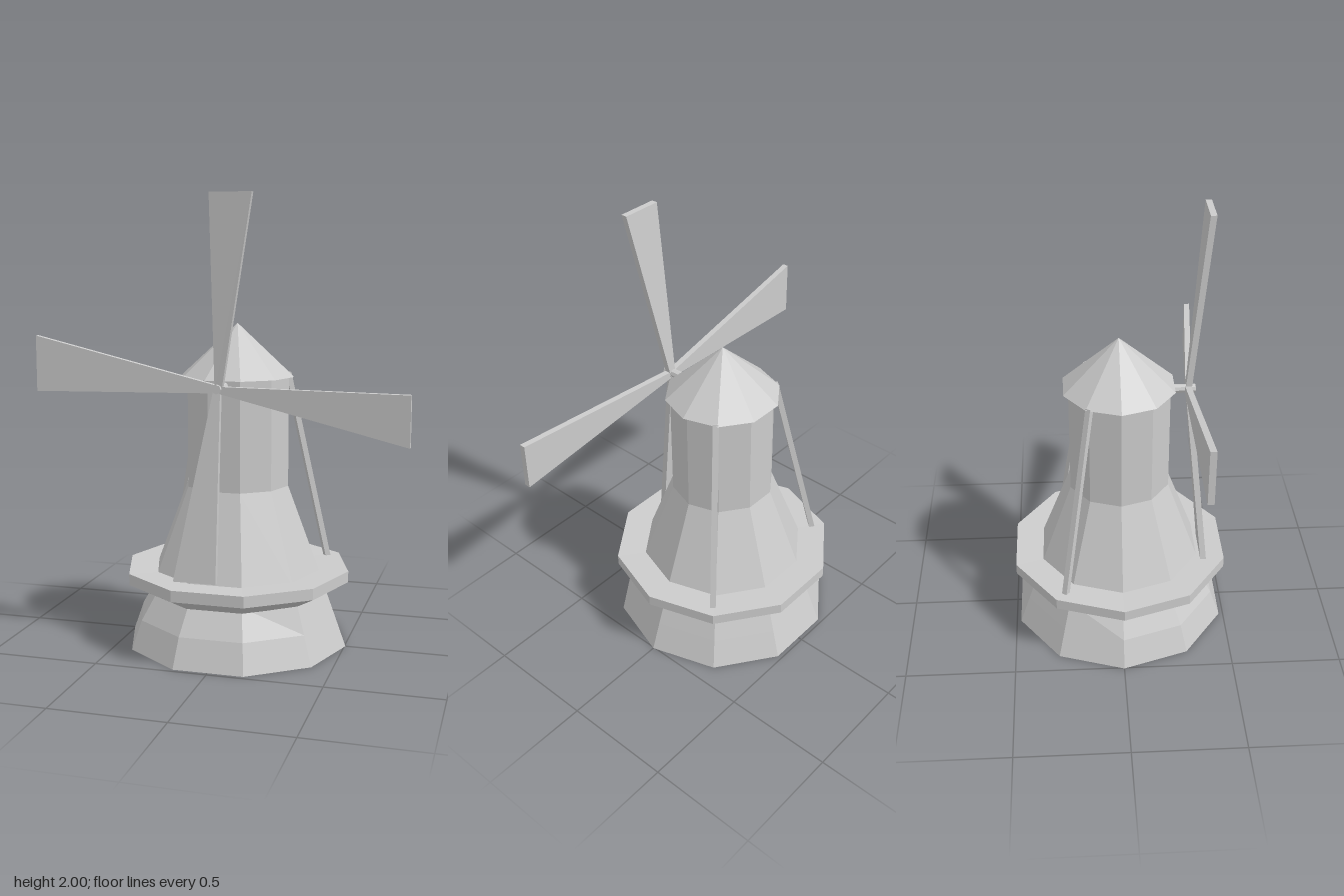
import * as THREE from 'three';

const SIDES = 10;
const HUB_Y = 1.19;

const material = new THREE.MeshStandardMaterial({ color: 0xcccccc, flatShading: true });

function addMesh(parent, geometry, name) {
  const mesh = new THREE.Mesh(geometry, material);
  mesh.name = name;
  parent.add(mesh);
  return mesh;
}

// Ten-sided turned form with corners on the x axis
function turned(profile) {
  const points = profile.map(([r, y]) => new THREE.Vector2(r, y));
  const geometry = new THREE.LatheGeometry(points, SIDES);
  geometry.rotateY(Math.PI / 2);
  return geometry;
}

// Flat tapered sail; its tip leans forward by `lean`
function sailGeometry(corners, lean) {
  const shape = new THREE.Shape(corners.map(([x, y]) => new THREE.Vector2(x, y)));
  const geometry = new THREE.ExtrudeGeometry(shape, { depth: 0.027, bevelEnabled: false });
  const p = geometry.attributes.position;
  for (let i = 0; i < p.count; i++) {
    const reach = Math.max(Math.abs(p.getX(i)), Math.abs(p.getY(i) - HUB_Y)) / 0.82;
    p.setZ(i, p.getZ(i) + 0.293 + lean * reach);
  }
  geometry.computeVertexNormals();
  return geometry;
}

// Square beam between two points
function beam(parent, from, to, size, name) {
  const mesh = addMesh(parent, new THREE.BoxGeometry(size, size, from.distanceTo(to)), name);
  mesh.position.copy(from).add(to).multiplyScalar(0.5);
  mesh.lookAt(to);
}

export function createModel() {
  const model = new THREE.Group();
  model.name = 'windmill';

  // Base, slightly pinched below the gallery along the front and right
  const base = turned([[0, 0], [0.505, 0], [0.458, 0.13], [0.41, 0.26], [0.375, 0.35]]);
  const p = base.attributes.position;
  for (let i = 0; i < p.count; i++) {
    const x = p.getX(i), y = p.getY(i), z = p.getZ(i);
    const pinched = z > 0.3 || (x < -0.1 && z > -0.05);
    if (pinched && y > 0.2 && y < 0.3) {
      p.setX(i, x * 0.93);
      p.setZ(i, z * 0.93);
    }
  }
  base.computeVertexNormals();
  addMesh(model, base, 'base');

  // Gallery with a sloping underside
  addMesh(model, turned([[0.36, 0.235], [0.4, 0.24], [0.513, 0.3], [0.513, 0.35], [0.33, 0.345]]), 'gallery');

  // Tower and cap
  addMesh(model, turned([[0.385, 0.33], [0.235, 0.725], [0.235, 1.22]]), 'tower');
  addMesh(model, turned([[0, 1.215], [0.258, 1.215], [0, 1.45]]), 'roof');

  // Tail braces at the back
  const braces = new THREE.Group();
  braces.name = 'braces';
  model.add(braces);
  for (const side of [-1, 1]) {
    beam(braces,
      new THREE.Vector3(side * 0.2, 1.22, -0.135),
      new THREE.Vector3(side * 0.368, 0.34, -0.26),
      0.025, side > 0 ? 'leftBrace' : 'rightBrace');
  }

  // Sails and axle
  const rotor = new THREE.Group();
  rotor.name = 'rotor';
  model.add(rotor);
  const axle = new THREE.CylinderGeometry(0.02, 0.02, 0.15, 8);
  axle.rotateX(Math.PI / 2);
  axle.translate(0, HUB_Y, 0.265);
  addMesh(rotor, axle, 'axle');

  addMesh(rotor, sailGeometry([[-0.012, 1.175], [0.017, 1.175], [0.168, 2], [-0.012, 2]], 0.08), 'topSail');
  addMesh(rotor, sailGeometry([[-0.015, 1.2], [0.012, 1.2], [0.012, 0.363], [-0.178, 0.363]], 0.08), 'bottomSail');
  addMesh(rotor, sailGeometry([[-0.015, 1.2], [-0.015, 1.175], [0.82, 0.987], [0.82, 1.2]], 0.08), 'leftSail');
  addMesh(rotor, sailGeometry([[0.015, 1.2], [0.015, 1.172], [-0.825, 1.157], [-0.825, 1.4]], 0.003), 'rightSail');

  return model;
}
